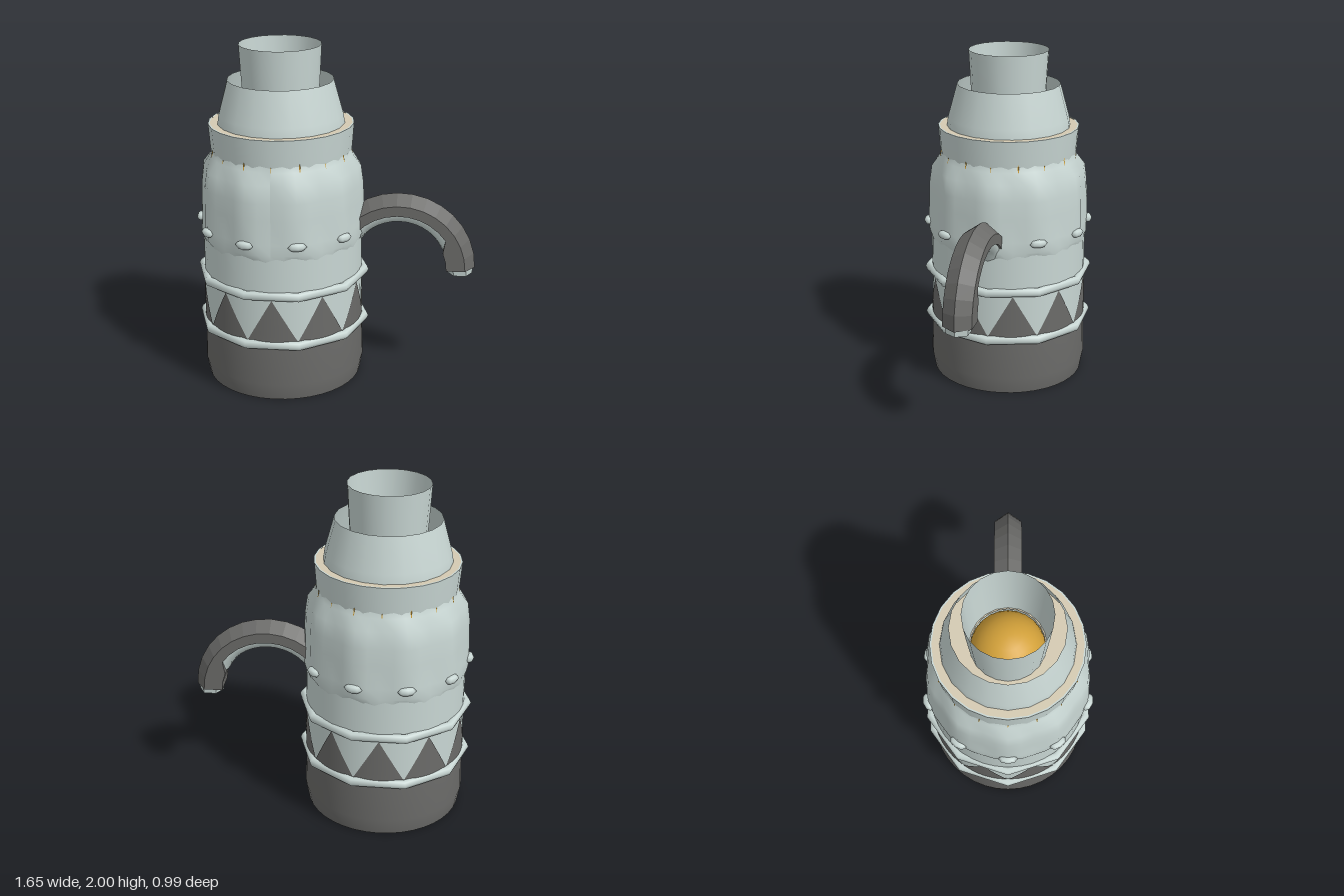
import * as THREE from 'three';

const DEG = Math.PI / 180;
const mat = (name, color) => {
  const m = new THREE.MeshStandardMaterial({ color, side: THREE.DoubleSide });
  m.name = name;
  return m;
};

export function createModel() {
  const pale = mat('pale grey', 0xc8d6d3);
  const dark = mat('dark grey', 0x6b6b69);
  const cream = mat('cream', 0xd4cab2);
  const gold = mat('gold', 0xd4a23a);

  const model = new THREE.Group();
  const body = new THREE.Group();
  body.name = 'body';
  body.position.x = -0.31;
  model.add(body);

  const add = (parent, name, geometry, material) => {
    const mesh = new THREE.Mesh(geometry, material);
    mesh.name = name;
    parent.add(mesh);
    return mesh;
  };
  const lathe = (points, segments = 40) =>
    new THREE.LatheGeometry(points.map(([r, y]) => new THREE.Vector2(r, y)), segments);

  // Dark foot with a pale underside
  add(body, 'footRim', lathe([[0.385, 0.0], [0.46, 0.0]]), dark);
  add(body, 'foot', lathe([[0.46, 0], [0.478, 0.1], [0.47, 0.36]]), dark);
  add(body, 'underside', lathe([[0, 0.015], [0.39, 0.005]]), pale);

  // Straight pale wall
  add(body, 'wall', lathe([[0.468, 0.34], [0.468, 0.9]]), pale);

  // Row of dark pointed teeth wrapped around the wall
  for (let i = 0; i < 10; i++) {
    const g = new THREE.PlaneGeometry(1, 1, 8, 6);
    const p = g.attributes.position;
    for (let k = 0; k < p.count; k++) {
      const v = p.getY(k) + 0.5;
      const a = (i + p.getX(k) * (1 - v)) * 36 * DEG;
      p.setXYZ(k, 0.473 * Math.sin(a), 0.37 + 0.26 * v, 0.473 * Math.cos(a));
    }
    g.computeVertexNormals();
    add(body, 'tooth', g, dark);
  }

  // Two ten-sided hoops with corners on the x axis
  for (const y of [0.35, 0.652]) {
    const g = new THREE.TorusGeometry(0.483, 0.028, 8, 10);
    g.rotateX(Math.PI / 2);
    add(body, 'hoop', g, pale).position.y = y;
  }

  // Ten-sided upper shell with a scalloped lower edge
  const shell = lathe([[0.462, 0.85], [0.482, 0.9], [0.484, 0.96], [0.48, 1.1],
    [0.476, 1.2], [0.462, 1.3], [0.412, 1.365], [0.4, 1.42]], 40);
  const sp = shell.attributes.position;
  for (let k = 0; k < sp.count; k++) {
    const x = sp.getX(k), y = sp.getY(k), z = sp.getZ(k);
    const wave = 0.5 + 0.5 * Math.cos(10 * Math.atan2(x, z));
    const flat = y < 0.88 || y > 1.35 ? 0 : y < 0.95 ? 0.02 : 0.045;
    const s = 1 - flat * wave;
    sp.setXYZ(k, x * s, y < 0.88 ? y - 0.02 + 0.04 * (1 - wave) : y, z * s);
  }
  shell.computeVertexNormals();
  add(body, 'upperShell', shell, pale);

  // Studs on the shell corners
  for (let i = 0; i < 10; i++) {
    const a = (18 + 36 * i) * DEG;
    const stud = add(body, 'stud', new THREE.SphereGeometry(1, 8, 4), pale);
    stud.scale.set(0.055, 0.025, 0.03);
    stud.position.set(0.484 * Math.sin(a), 0.955, 0.484 * Math.cos(a));
    stud.rotation.y = a;
  }

  // Collar and cream ledge
  add(body, 'collar', lathe([[0.404, 1.36], [0.41, 1.42], [0.42, 1.55]], 24), pale);
  add(body, 'collarRim', lathe([[0.42, 1.55], [0.41, 1.55]], 24), pale);
  add(body, 'ledge', lathe([[0.412, 1.548], [0.2, 1.548]], 24), cream);

  // Small gold slivers around the base of the collar
  for (let i = 0; i < 16; i++) {
    const a = i * 22.5 * DEG;
    const g = new THREE.ConeGeometry(0.013, 0.08, 4);
    const sliver = add(body, 'sliver', g, gold);
    sliver.position.set(0.4 * Math.sin(a), 1.405, 0.4 * Math.cos(a));
    sliver.rotation.y = a;
  }

  // Open cone, neck and the gold ball inside it
  add(body, 'cone', lathe([[0.368, 1.545], [0.36, 1.6], [0.305, 1.8]], 20), pale);
  add(body, 'neck', lathe([[0.205, 1.5], [0.225, 1.8], [0.236, 2]], 20), pale);
  add(body, 'ball', new THREE.SphereGeometry(0.205, 24, 16), gold).position.y = 1.48;

  // Curved handle: a ridged dark strip over a round pale core
  const handle = new THREE.Group();
  handle.name = 'handle';
  handle.position.set(0.38, 0.69, 0);
  model.add(handle);

  const pos = [], index = [], steps = 12, sides = 5;
  for (let i = 0; i <= steps; i++) {
    const a = (i / steps) * 138 * DEG;
    const inner = i <= 2 ? 0.28 : 0.33;
    const section = [[0.447, 0], [0.39, 0.083], [inner, 0.083], [inner, -0.083], [0.39, -0.083]];
    for (const [r, z] of section) pos.push(r * Math.cos(a), r * Math.sin(a), z);
    if (i === steps) break;
    for (let j = 0; j < sides; j++) {
      const p = i * sides + j, q = i * sides + (j + 1) % sides;
      index.push(p, q, p + sides, q, q + sides, p + sides);
    }
  }
  index.push(0, 2, 1, 0, 3, 2, 0, 4, 3); // lower end cap
  const strip = new THREE.BufferGeometry();
  strip.setAttribute('position', new THREE.Float32BufferAttribute(pos, 3));
  strip.setIndex(index);
  const facets = strip.toNonIndexed();
  facets.computeVertexNormals();
  add(handle, 'handleStrip', facets, dark);

  const core = new THREE.TorusGeometry(0.345, 0.073, 10, 14, 132 * DEG);
  core.rotateZ(24 * DEG);
  add(handle, 'handleCore', core, pale);

  // Pale tip at the end of the handle
  const tip = new THREE.CylinderGeometry(0.078, 0.072, 0.05, 6).toNonIndexed();
  tip.computeVertexNormals();
  tip.rotateY(Math.PI / 6);
  add(handle, 'handleTip', tip, pale).position.set(0.36, -0.011, 0);

  return model;
}
